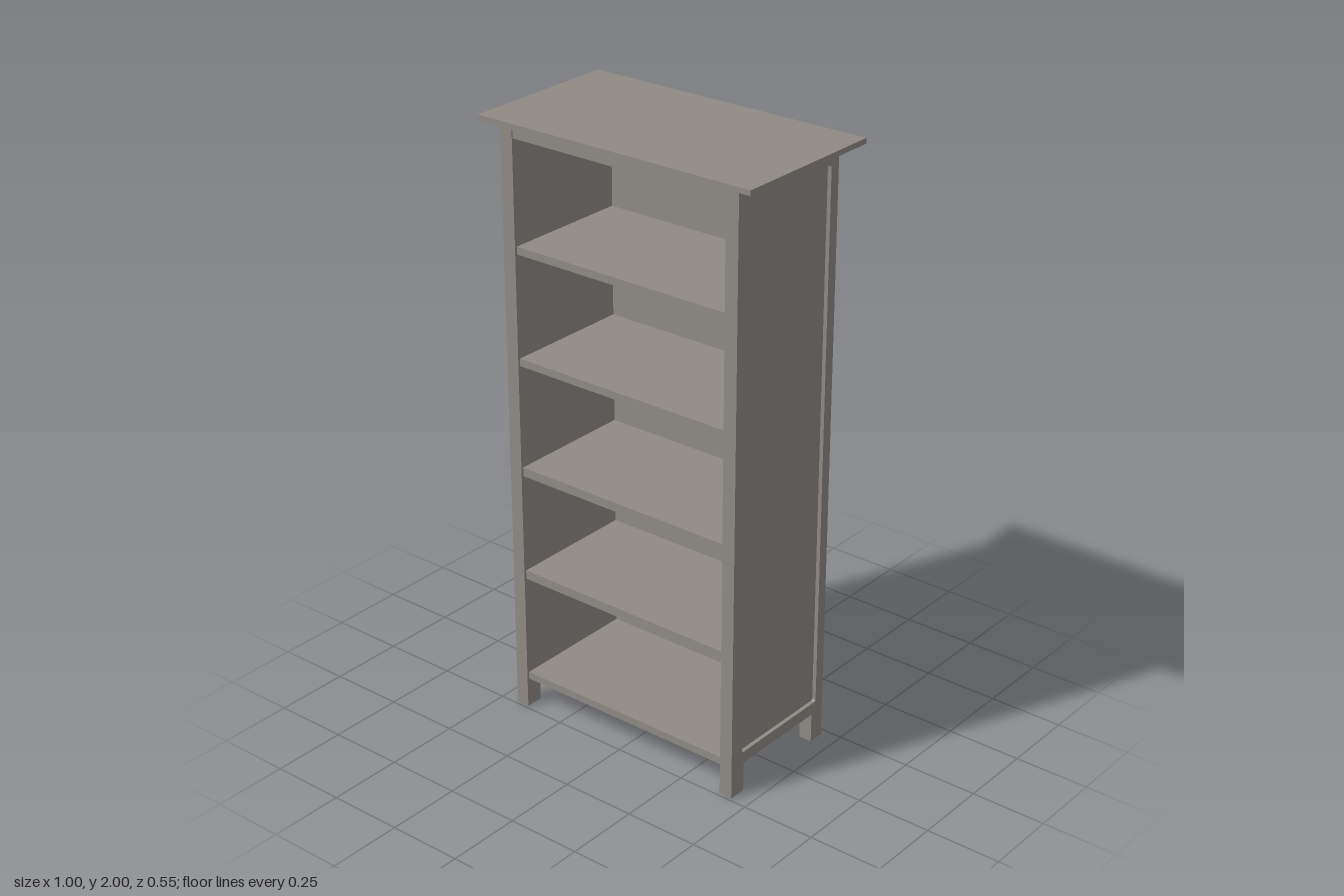
import * as THREE from 'three';

const material = new THREE.MeshStandardMaterial({ color: 0x8f8a84 });
const FRONT = 0.24, BACK = -0.225, OUTER = 0.44, INNER = 0.395, BODY_TOP = 1.97;

function add(parent, name, geometry) {
  const mesh = new THREE.Mesh(geometry, material);
  mesh.name = name;
  parent.add(mesh);
  return mesh;
}

// Box given by its limits on each axis
function block(parent, name, [x0, x1], [y0, y1], [z0, z1]) {
  const mesh = add(parent, name, new THREE.BoxGeometry(x1 - x0, y1 - y0, z1 - z0));
  mesh.position.set((x0 + x1) / 2, (y0 + y1) / 2, (z0 + z1) / 2);
  return mesh;
}

// Side frame outline in (z, y): two legs, rails and a window with eased corners
function sideFrameGeometry() {
  const shape = new THREE.Shape([
    [BACK, 0], [-0.17, 0], [-0.17, 0.1], [0.18, 0.1], [0.18, 0], [FRONT, 0],
    [FRONT, BODY_TOP], [BACK, BODY_TOP],
  ].map(([z, y]) => new THREE.Vector2(z, y)));
  const hole = new THREE.Path();
  const a = -0.19, b = 0.19, c = 0.14, d = 1.93, r = 0.008;
  hole.moveTo(a + r, c);
  hole.lineTo(b - r, c).quadraticCurveTo(b, c, b, c + r);
  hole.lineTo(b, d - r).quadraticCurveTo(b, d, b - r, d);
  hole.lineTo(a + r, d).quadraticCurveTo(a, d, a, d - r);
  hole.lineTo(a, c + r).quadraticCurveTo(a, c, a + r, c);
  shape.holes.push(hole);
  const geometry = new THREE.ExtrudeGeometry(shape, {
    depth: OUTER - INNER, bevelEnabled: false, curveSegments: 4,
  });
  return geometry.rotateY(-Math.PI / 2); // extrusion now runs towards -x
}

export function createModel() {
  const model = new THREE.Group();
  model.name = 'bookcase';

  // Sides: frame with legs and a recessed panel
  const frame = sideFrameGeometry();
  for (const [name, s] of [['left', 1], ['right', -1]]) {
    const side = new THREE.Group();
    side.name = `${name}Side`;
    model.add(side);
    add(side, `${name}SideFrame`, frame).position.x = s > 0 ? OUTER : -INNER;
    const panelX = [s * INNER, s * 0.427].sort((p, q) => p - q);
    block(side, `${name}SidePanel`, panelX, [0.135, 1.935], [-0.195, 0.195]);
  }

  // Back panel, flush with the rear legs
  block(model, 'backPanel', [-INNER, INNER], [0.1, BODY_TOP], [BACK, -0.205]);

  // Bottom board and shelves
  const shelves = [[0.1, 0.125], [0.47, 0.5], [0.835, 0.865], [1.21, 1.235], [1.575, 1.6]];
  shelves.forEach((y, i) => {
    block(model, i ? `shelf${i}` : 'bottomBoard', [-INNER, INNER], y, [-0.205, FRONT - 0.008]);
  });

  // Board closing the carcass under the top
  block(model, 'topRail', [-INNER, INNER], [1.94, BODY_TOP], [-0.205, FRONT - 0.003]);

  // Overhanging top, set very slightly askew
  const top = new THREE.Group();
  top.name = 'top';
  top.rotation.y = 0.005;
  model.add(top);
  block(top, 'topSlab', [-0.499, 0.499], [1.983, 2], [-0.272, 0.27]);

  // Chamfered moulding: a box narrowed towards its lower face
  const moulding = block(top, 'topMoulding', [-0.499, 0.499], [1.968, 1.983], [-0.272, 0.27]);
  const p = moulding.geometry.attributes.position;
  for (let i = 0; i < p.count; i++) {
    if (p.getY(i) < 0) {
      p.setX(i, Math.sign(p.getX(i)) * 0.43);
      p.setZ(i, p.getZ(i) > 0 ? 0.235 : -0.219);
    }
  }
  moulding.geometry = moulding.geometry.toNonIndexed();
  moulding.geometry.computeVertexNormals();

  return model;
}
